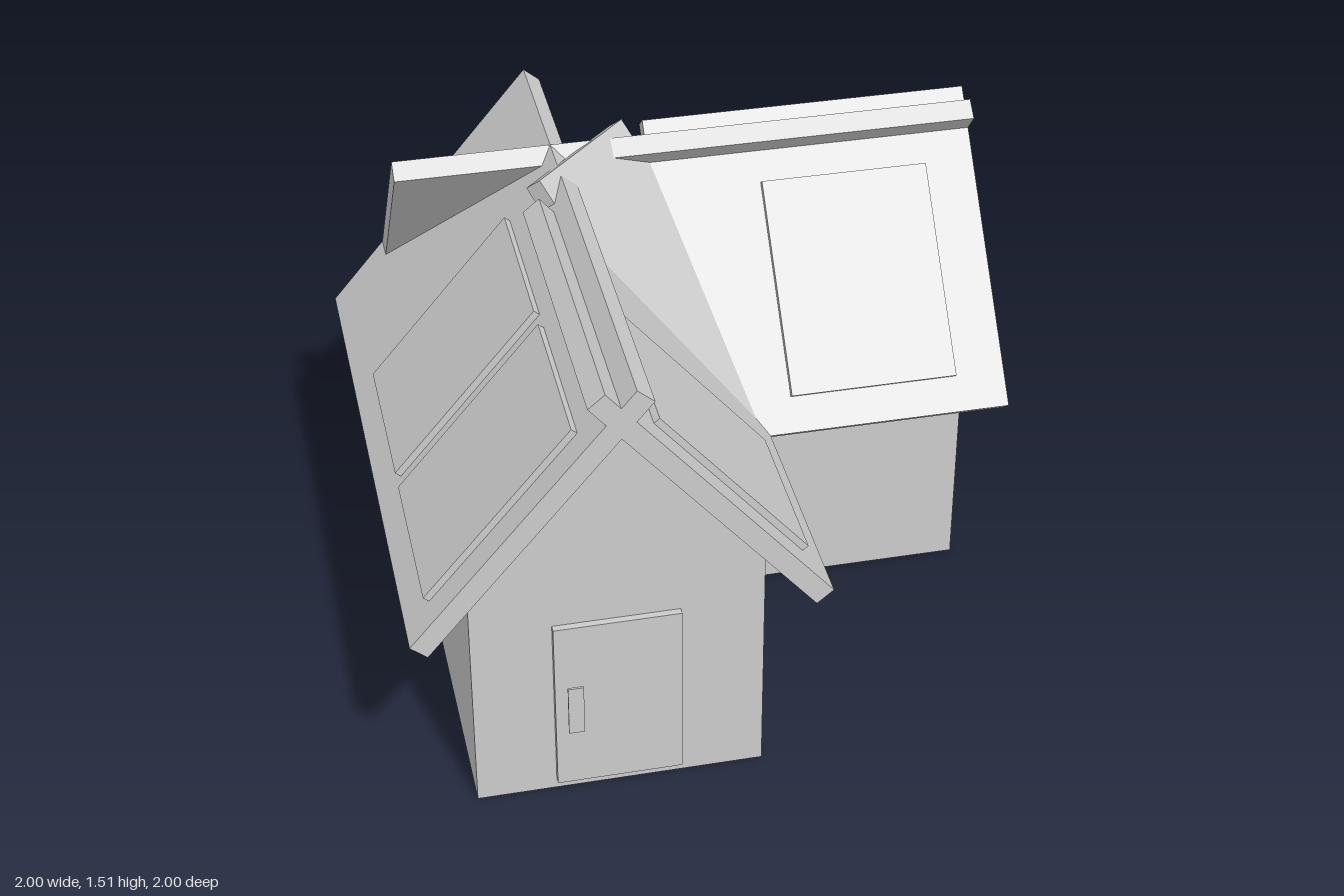
import * as THREE from 'three';

const PITCH = THREE.MathUtils.degToRad(50);
const RIDGE = -0.385; // ridge offset of both wings
const THICK = 0.065;  // roof slab thickness

export function createModel() {
  const house = new THREE.Group();
  house.name = 'house';
  const grey = new THREE.MeshStandardMaterial({ color: 0xcccccc, flatShading: true });

  const add = (parent, name, geometry) => {
    const mesh = new THREE.Mesh(geometry, grey);
    mesh.name = name;
    parent.add(mesh);
    return mesh;
  };

  const box = (parent, name, [x0, x1], [y0, y1], [z0, z1]) =>
    add(parent, name, new THREE.BoxGeometry(x1 - x0, y1 - y0, z1 - z0))
      .position.set((x0 + x1) / 2, (y0 + y1) / 2, (z0 + z1) / 2);

  // Board lying on a 50 degree slope: "up" runs uphill from the eave,
  // "out" is height above the slope surface, side is +1 or -1 in local x.
  const board = (parent, name, side, eave, up, out, depth) => {
    const u = (up[0] + up[1]) / 2, o = (out[0] + out[1]) / 2;
    const c = Math.cos(PITCH), s = Math.sin(PITCH);
    const mesh = add(parent, name,
      new THREE.BoxGeometry(up[1] - up[0], out[1] - out[0], depth[1] - depth[0]));
    mesh.position.set(side * (eave[0] - c * u + s * o), eave[1] + s * u + c * o, (depth[0] + depth[1]) / 2);
    mesh.rotation.z = -side * PITCH;
  };

  // L-shaped walls
  const plan = new THREE.Shape([
    [-0.82, -0.82], [0.9, -0.82], [0.9, 0.05], [0.05, 0.05], [0.05, 0.9], [-0.82, 0.9],
  ].map(([x, z]) => new THREE.Vector2(x, -z)));
  const walls = new THREE.ExtrudeGeometry(plan, { depth: 0.815, bevelEnabled: false });
  walls.rotateX(-Math.PI / 2);
  add(house, 'walls', walls);

  // One roof wing: gable, two crossing slabs and three raised panels
  const EAVE = [0.615, 0.7];
  const wing = (name, outer, outerPanels, innerPanels) => {
    const group = new THREE.Group();
    group.name = name;
    const triangle = new THREE.Shape([
      new THREE.Vector2(-0.435, 0.815), new THREE.Vector2(0.435, 0.815), new THREE.Vector2(0, 1.33),
    ]);
    const gable = new THREE.ExtrudeGeometry(triangle, { depth: 0.9 - RIDGE, bevelEnabled: false });
    gable.translate(0, 0, RIDGE);
    add(group, 'gable', gable);
    board(group, 'outerRoofSlab', outer, EAVE, [0, 1.025], [-THICK, 0], [-0.83, 1]);
    board(group, 'innerRoofSlab', -outer, EAVE, [0, 1.025], [-THICK, 0], [-0.035, 1]);
    for (const z of outerPanels) board(group, 'roofPanel', outer, EAVE, [0.113, 0.79], [-0.01, 0.022], z);
    for (const z of innerPanels) board(group, 'roofPanel', -outer, EAVE, [0.113, 0.79], [-0.01, 0.022], z);
    house.add(group);
    return group;
  };

  const front = wing('frontWing', -1, [[-0.22, 0.31], [0.38, 0.91]], [[0.38, 0.91]]);
  front.position.x = RIDGE;

  const side = wing('sideWing', 1, [[-0.29, 0.24], [0.31, 0.84]], [[0.31, 0.84]]);
  side.rotation.y = Math.PI / 2;
  side.position.z = RIDGE;

  // Diagonal slab filling the valley between the wings
  const valley = new THREE.Group();
  valley.name = 'valleyRoof';
  board(valley, 'valleySlab', 1, [0.27, 0.747], [0, 0.99], [-THICK, 0], [-0.22, 0.22]);
  valley.rotation.y = -Math.PI / 4;
  house.add(valley);

  // Door with a bar handle on two posts
  const door = new THREE.Group();
  door.name = 'door';
  box(door, 'doorPanel', [-0.58, -0.2], [0.035, 0.625], [0.89, 0.922]);
  box(door, 'handleBar', [-0.545, -0.498], [0.245, 0.415], [0.937, 0.944]);
  for (const y of [0.25, 0.355]) box(door, 'handlePost', [-0.535, -0.508], [y, y + 0.03], [0.92, 0.94]);
  house.add(door);

  return house;
}
